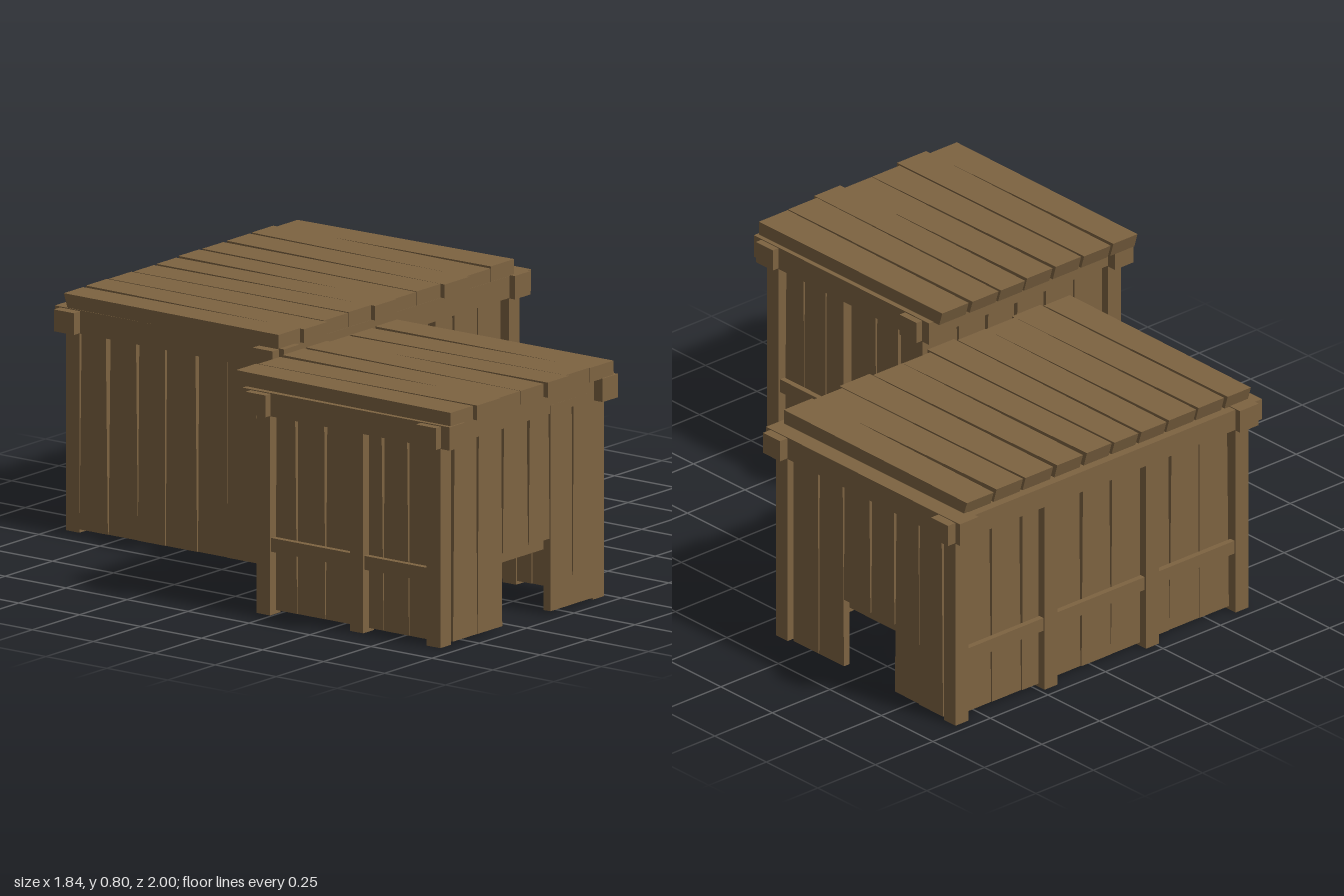
import * as THREE from 'three';

const wood = new THREE.MeshStandardMaterial({ color: 0x7d6341, flatShading: true });

// small seeded generator for the uneven planks
let seed = 7;
const rnd = () => (seed = (seed * 16807) % 2147483647) / 2147483647;

function addMesh(parent, name, geo) {
  const mesh = new THREE.Mesh(geo, wood);
  mesh.name = name;
  parent.add(mesh);
  return mesh;
}

// box given by its ranges along x, y and z
function slab(parent, name, [x0, x1], [y0, y1], [z0, z1]) {
  const geo = new THREE.BoxGeometry(x1 - x0, y1 - y0, z1 - z0);
  geo.translate((x0 + x1) / 2, (y0 + y1) / 2, (z0 + z1) / 2);
  return addMesh(parent, name, geo);
}

// box whose far end along axis "long" is narrowed along axis "wide"
function taper(mesh, long, wide, low, high) {
  const p = mesh.geometry.attributes.position;
  mesh.geometry.computeBoundingBox();
  const b = mesh.geometry.boundingBox.clone();
  const midLong = (b.min[long] + b.max[long]) / 2, midWide = (b.min[wide] + b.max[wide]) / 2;
  const set = { x: 'setX', y: 'setY', z: 'setZ' }, get = { x: 'getX', y: 'getY', z: 'getZ' };
  for (let i = 0; i < p.count; i++) {
    if (p[get[long]](i) < midLong) continue;
    const w = p[get[wide]](i);
    p[set[wide]](i, w < midWide ? w + low : w - high);
  }
  mesh.geometry.computeVertexNormals();
}

// upright planks between the edges listed; "along" is the wall direction
function plankWall(parent, name, along, edges, depth, door) {
  const group = new THREE.Group();
  group.name = name;
  parent.add(group);
  for (let i = 0; i < edges.length - 1; i++) {
    const span = [edges[i] + 0.001, edges[i + 1] - 0.001];
    const mid = (span[0] + span[1]) / 2;
    const bottom = door && mid > door[0] && mid < door[1] ? 0.255 : 0.012;
    const shift = rnd() * 0.006;
    const d = [depth[0] + shift, depth[1] + shift - 0.003];
    const mesh = along === 'x'
      ? slab(group, 'wallPlank', span, [bottom, 0.7], d)
      : slab(group, 'wallPlank', d, [bottom, 0.7], span);
    taper(mesh, 'y', along, rnd() * 0.009, rnd() * 0.009);
  }
}

// evenly spaced plank edges
const even = (a, b, n) => Array.from({ length: n + 1 }, (_, i) => a + (b - a) * i / n);

// roof boards running front to back, narrower at the back
function roof(parent, edges, z0, z1) {
  const group = new THREE.Group();
  group.name = 'roof';
  parent.add(group);
  for (let i = 0; i < edges.length - 1; i++) {
    const front = z1 + (i % 3 === 1 ? 0.015 : 0);
    const mesh = slab(group, 'roofBoard', [edges[i] + 0.001, edges[i + 1] - 0.001], [0.746, 0.79], [-front, -z0]);
    taper(mesh, 'z', 'x', 0.003 + rnd() * 0.005, 0.003 + rnd() * 0.006);
    const p = mesh.geometry.attributes.position;
    const lift = rnd() * 0.008;
    for (let k = 0; k < p.count; k++) {
      const back = p.getZ(k) > -(z0 + z1) / 2;
      const under = p.getY(k) < 0.77;
      // slanted back end and a slight lift
      if (back && under) p.setZ(k, p.getZ(k) - 0.015);
      if (!under) p.setY(k, p.getY(k) + (back ? lift : 0.008 - lift));
    }
    // the board was laid out with z reversed, so mirror it and flip its faces
    mesh.geometry.scale(1, 1, -1);
    const index = mesh.geometry.index;
    for (let k = 0; k < index.count; k += 3) {
      const a = index.getX(k);
      index.setX(k, index.getX(k + 1));
      index.setX(k + 1, a);
    }
    mesh.geometry.computeVertexNormals();
  }
}

const P = 0.056; // post thickness

// corner posts, plus the crossing beams that lie on them
function frame(parent, xs, zs, beamX, beamZ) {
  for (const x of xs) for (const z of zs)
    slab(parent, 'cornerPost', [x - P / 2, x + P / 2], [0, 0.69], [z - P / 2, z + P / 2]);
  for (const z of zs) slab(parent, 'crossBeam', beamX, [0.672, 0.745], [z - 0.041, z + 0.041]);
  for (const x of xs) slab(parent, 'sideBeam', [x - 0.041, x + 0.041], [0.67, 0.748], beamZ);
}

const railY = [0.212, 0.258];

function smallShed() {
  const g = new THREE.Group();
  g.name = 'smallShed';
  const xl = -0.852, xr = -0.045, zb = 0.215, zf = 0.913;
  frame(g, [xl, xr], [zb, zf], [-0.92, 0.02], [0.14, 0.99]);

  // doorway wall at the front, with its rail inside
  plankWall(g, 'frontWall', 'x', [-0.825, -0.697, -0.565, -0.43, -0.318, -0.2, -0.072], [0.922, 0.953], [-0.565, -0.318]);
  slab(g, 'frontRail', [-0.825, -0.072], railY, [0.892, 0.92]);

  // side walls with a middle post and outer rails
  for (const [x, s] of [[xl, -1], [xr, 1]]) {
    slab(g, 'middlePost', [x - P / 2, x + P / 2], [0, 0.69], [0.57, 0.625]);
    const out = [x + s * 0.002, x + s * 0.022].sort((a, b) => a - b);
    slab(g, 'sideRail', out, railY, [zb + P / 2, zf - P / 2]);
    const inn = [x - s * 0.026, x].sort((a, b) => a - b);
    plankWall(g, 'sideWall', 'z', [0.24, 0.33, 0.445, 0.57, 0.685, 0.79, 0.888], inn);
  }

  // back wall
  plankWall(g, 'backWall', 'x', even(-0.825, -0.072, 6), [0.213, 0.24]);
  slab(g, 'backRail', [-0.825, -0.072], railY, [0.192, 0.212]);

  roof(g, [-0.88, -0.76, -0.632, -0.51, -0.387, -0.272, -0.145, -0.018], 0.097, 0.983);
  return g;
}

function largeShed() {
  const g = new THREE.Group();
  g.name = 'largeShed';
  const xl = -0.375, xr = 0.842, zb = -0.937, zf = -0.122;
  frame(g, [xl, xr], [zb, zf], [-0.45, 0.915], [-1, -0.06]);

  // front and back walls with two middle posts and outer rails
  for (const [z, s, name] of [[zf, 1, 'front'], [zb, -1, 'back']]) {
    for (const x of [0.015, 0.455])
      slab(g, 'middlePost', [x - P / 2, x + P / 2], [0, 0.69], [z - P / 2, z + P / 2]);
    const out = [z + s * 0.002, z + s * 0.022].sort((a, b) => a - b);
    slab(g, name + 'Rail', [xl + P / 2, xr - P / 2], railY, out);
    const inn = [z - s * 0.026, z].sort((a, b) => a - b);
    plankWall(g, name + 'Wall', 'x', even(xl + P / 2, xr - P / 2, 9), inn);
  }

  // doorway wall on the +x end, with its rail inside
  plankWall(g, 'doorWall', 'z', [-0.908, -0.79, -0.668, -0.555, -0.425, -0.303, -0.178], [0.842, 0.87], [-0.668, -0.425]);
  slab(g, 'doorRail', [0.812, 0.84], railY, [zb + P / 2, zf - P / 2]);

  // closed wall on the -x end
  plankWall(g, 'endWall', 'z', [-0.908, -0.79, -0.668, -0.555, -0.425, -0.303, -0.178], [-0.407, -0.378]);
  slab(g, 'endRail', [-0.376, -0.348], railY, [zb + P / 2, zf - P / 2]);

  roof(g, [-0.42, -0.305, -0.18, -0.052, 0.07, 0.187, 0.308, 0.437, 0.57, 0.7, 0.825], -0.965, -0.08);
  return g;
}

export function createModel() {
  seed = 7;
  const model = new THREE.Group();
  model.name = 'shelters';
  model.add(smallShed(), largeShed());
  return model;
}
